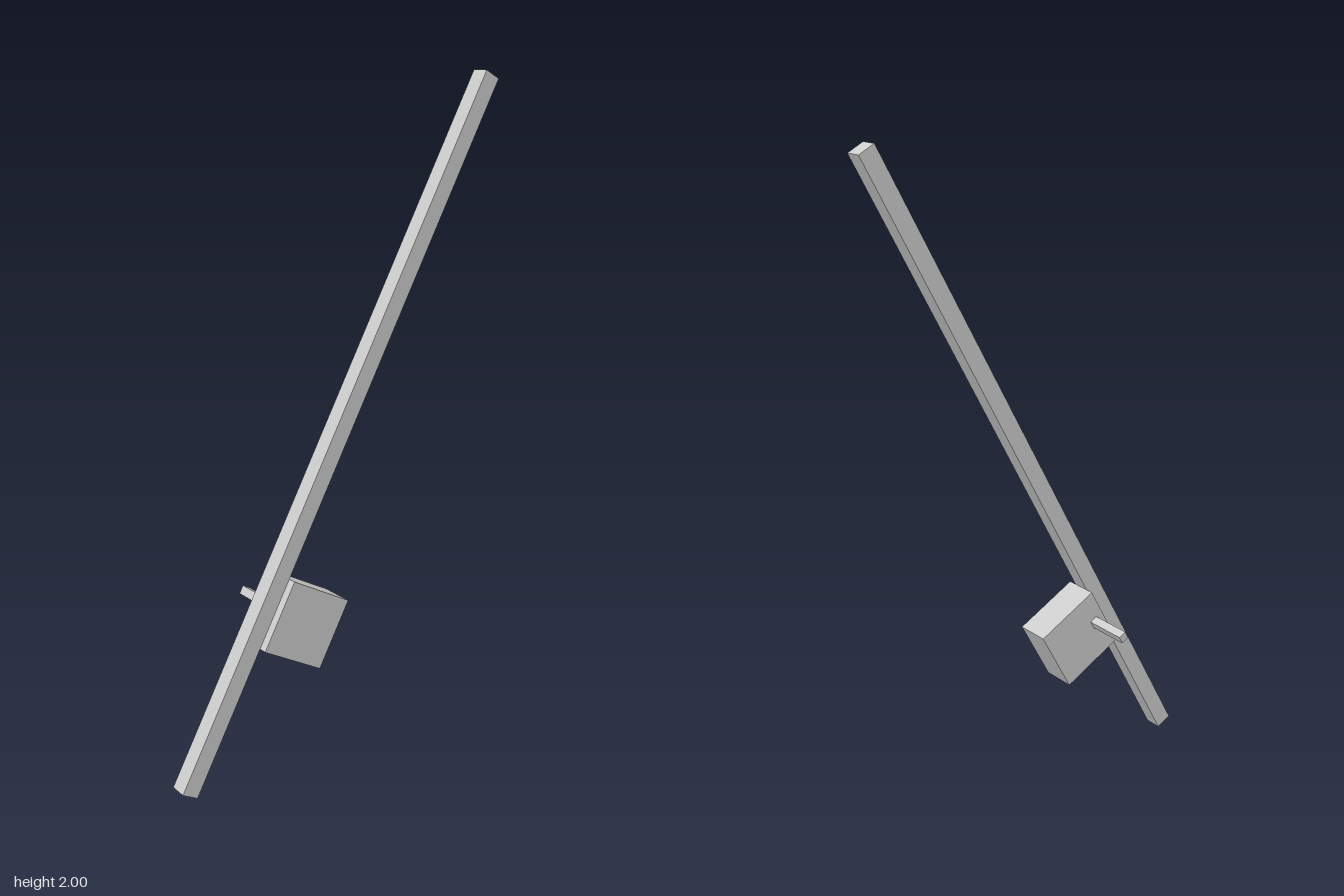
import * as THREE from 'three';

export function createModel() {
  const model = new THREE.Group();
  const material = new THREE.MeshStandardMaterial({ color: 0xcccccc, flatShading: true });

  // Leaning frame: the pole's own axis is local y
  const assembly = new THREE.Group();
  assembly.name = 'leaningAssembly';
  assembly.position.set(0, 1, 0.069);
  assembly.rotation.set(0, 0.045, THREE.MathUtils.degToRad(-27.5), 'ZYX');
  model.add(assembly);

  const addBox = (name, size, position) => {
    const mesh = new THREE.Mesh(new THREE.BoxGeometry(...size), material);
    mesh.name = name;
    mesh.position.set(...position);
    assembly.add(mesh);
  };

  // Long square pole
  addBox('pole', [0.053, 2.227, 0.055], [0, 0, 0]);
  // Square block fixed to the side of the pole
  addBox('block', [0.215, 0.215, 0.108], [0.134, -0.55, 0]);
  // Small square peg standing out from the back of the block
  addBox('peg', [0.026, 0.026, 0.139], [0.064, -0.541, -0.122]);

  return model;
}
